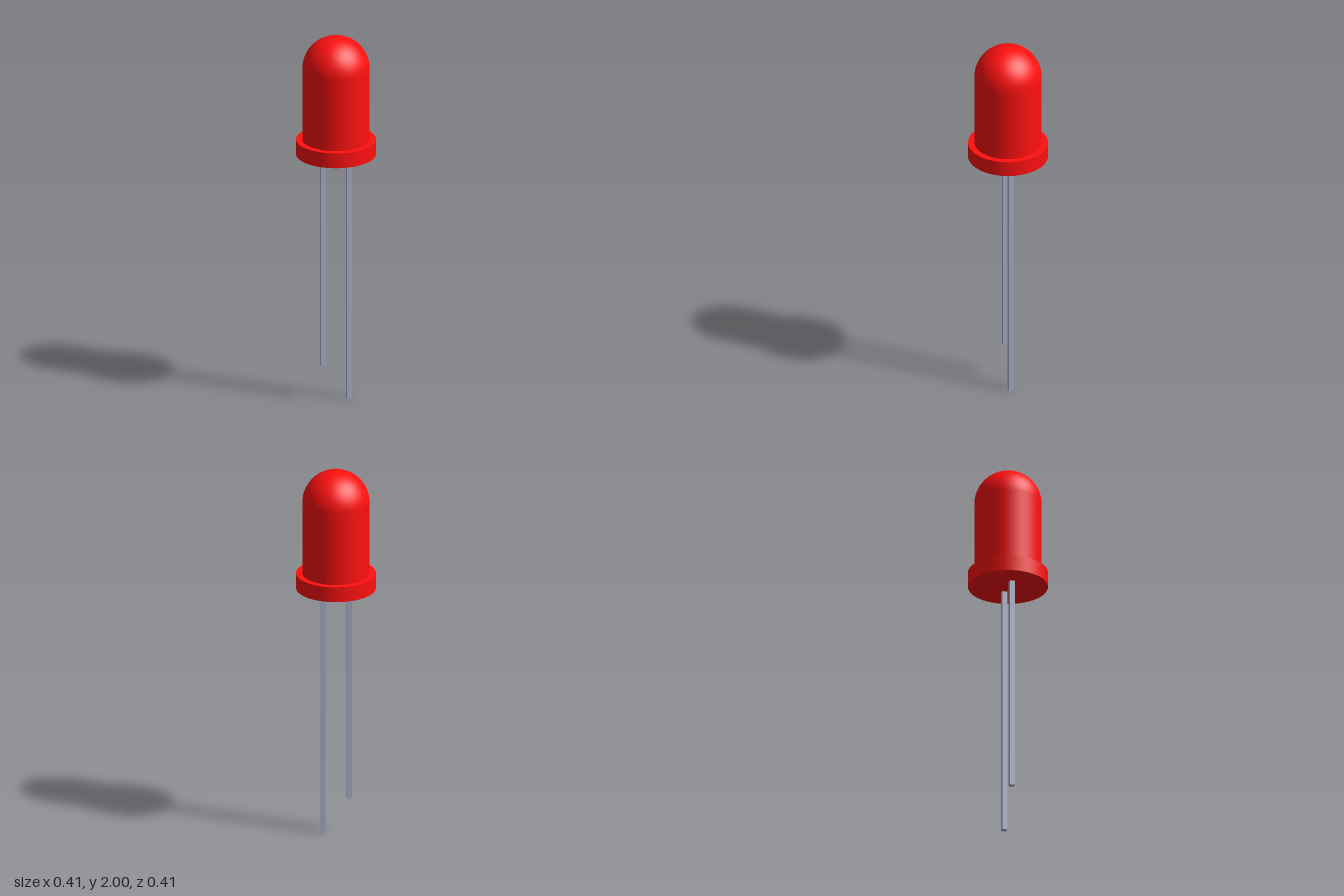
import * as THREE from 'three';

export function createModel() {
  const model = new THREE.Group();
  const red = new THREE.MeshStandardMaterial({ color: 0xff1010 });
  const metal = new THREE.MeshStandardMaterial({ color: 0xb0b4d0 });

  const add = (name, geometry, material, x, y) => {
    const mesh = new THREE.Mesh(geometry, material);
    mesh.name = name;
    mesh.position.set(x, y, 0);
    model.add(mesh);
  };

  const flangeBottom = 1.354, flangeTop = 1.436;
  const lensRadius = 0.174, domeBase = 2 - lensRadius;

  // Lens: straight wall that runs into a hemispherical dome
  const profile = [new THREE.Vector2(lensRadius, flangeTop)];
  const steps = 16;
  for (let i = 0; i <= steps; i++) {
    const a = (i / steps) * Math.PI / 2;
    const r = i === steps ? 0 : lensRadius * Math.cos(a);
    profile.push(new THREE.Vector2(r, domeBase + lensRadius * Math.sin(a)));
  }
  add('lens', new THREE.LatheGeometry(profile, 48), red, 0, 0);

  // Rim around the foot of the lens
  const rimHeight = flangeTop - flangeBottom;
  add('rim', new THREE.CylinderGeometry(0.207, 0.207, rimHeight, 32), red, 0, flangeBottom + rimHeight / 2);

  // Two square wire leads, one shorter than the other
  const leads = [['longLead', 0.069, 0], ['shortLead', -0.069, 0.193]];
  for (const [name, x, bottom] of leads) {
    const length = flangeBottom - bottom;
    add(name, new THREE.BoxGeometry(0.027, length, 0.027), metal, x, bottom + length / 2);
  }

  return model;
}
